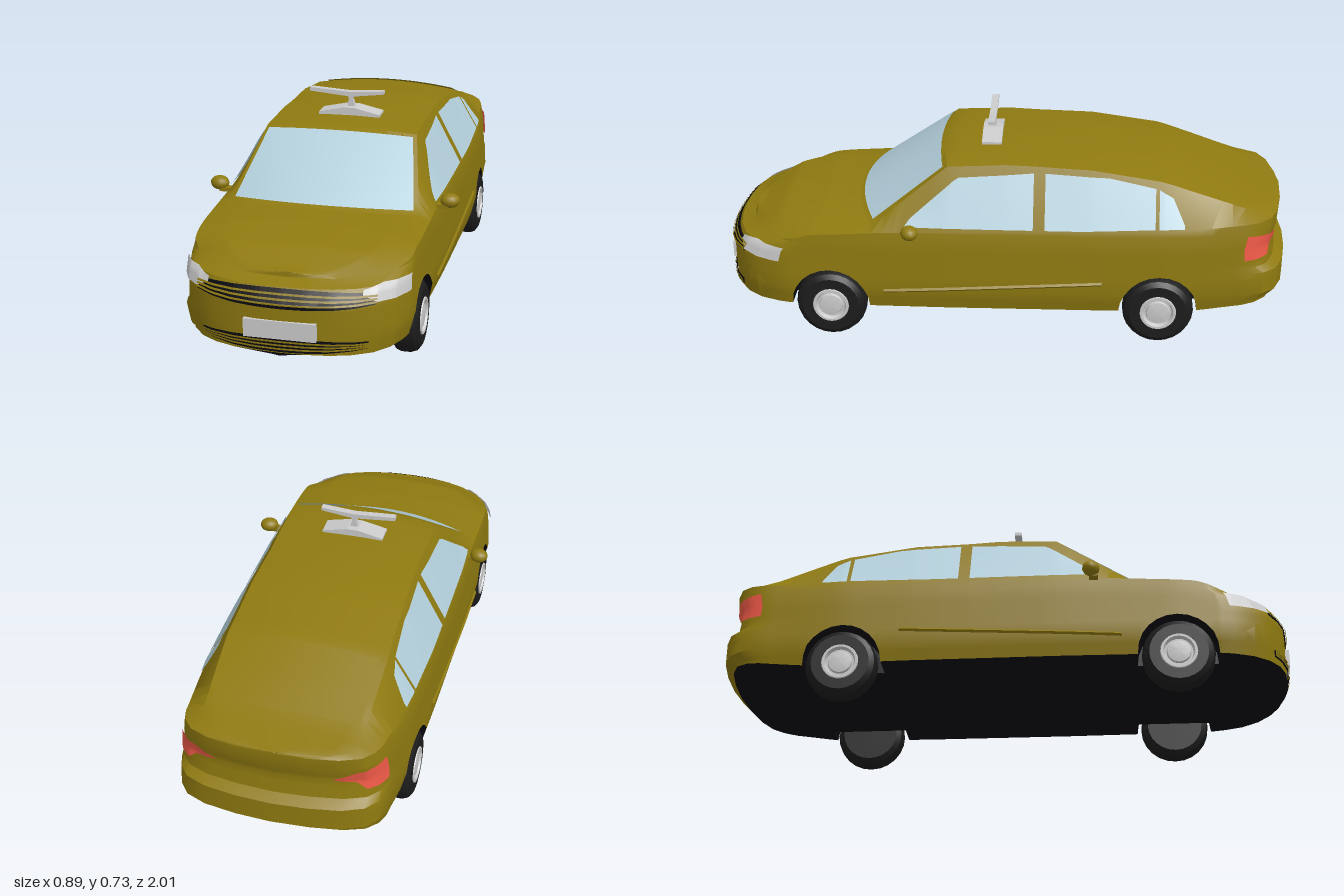
import * as THREE from 'three';
import { toCreasedNormals } from 'three/addons/utils/BufferGeometryUtils.js';

const mat = (color) => new THREE.MeshStandardMaterial({ color, side: THREE.DoubleSide });
const paint = mat(0x8f7a10), dark = mat(0x0a0a12), rubber = mat(0x1c1c1c);
const glass = mat(0xb4d0dc), red = mat(0xf05a48), grey = mat(0xcccccc);

// Linear lookup in a table of [key, value] pairs with ascending keys
function look(table, k) {
  if (k <= table[0][0]) return table[0][1];
  for (let i = 1; i < table.length; i++) {
    const [a, va] = table[i - 1], [b, vb] = table[i];
    if (k <= b) return va + (vb - va) * (k - a) / (b - a);
  }
  return table[table.length - 1][1];
}
const lerp = THREE.MathUtils.lerp, smooth = THREE.MathUtils.smoothstep;

// Plan outline: nose and tail as [x, z], flanks as [z, x]
const nose = [[0, 1], [.08, .997], [.16, .985], [.23, .96], [.29, .92], [.335, .865], [.362, .8], [.372, .76]];
const tail = [[0, -1], [.12, -.993], [.23, -.975], [.3, -.945], [.335, -.9], [.35, -.85], [.354, -.8]];
const flank = [[-.8, .354], [-.68, .366], [-.55, .378], [-.3, .384], [.2, .386], [.6, .38], [.76, .372]];
const flip = (t) => t.map(([a, b]) => [b, a]);
const outline = [...flip(tail), ...flank.slice(1, -1), ...flip(nose).reverse()];

// Body shape tables
const widthByY = [[.12, .965], [.19, 1.01], [.36, .988], [.4, .975], [.46, .94]];
const noseShift = [[.29, 0], [.335, .03], [.36, .11], [.4, .13]];
const tailShift = [[.16, .03], [.19, 0], [.27, 0], [.29, .035], [.36, .045], [.41, .03], [.46, .025]];
const shoulderY = [[-.97, .458], [-.6, .43], [0, .42], [.4, .41], [.7, .392], [.85, .36], [1, .35]];
const floorY = [[-1, .16], [-.68, .125], [.9, .12], [1, .125]];
const edgeFrac = [[-.97, .85], [-.8, .8], [-.5, .75], [-.1, .71], [.2, .72], [.46, .89], [.6, .76], [.9, .76]];
const edgeY = [[-.97, .463], [-.84, .48], [-.78, .5], [-.55, .578], [-.3, .615], [0, .627], [.2, .618], [.46, .42], [.65, .415], [.8, .395], [.9, .36]];
const centreY = [[-.97, .468], [-.84, .492], [-.7, .547], [-.55, .603], [-.3, .633], [-.1, .642], [.05, .64], [.2, .632], [.46, .437], [.65, .43], [.8, .408], [.9, .367]];
const bow = [[0, 0], [.2, .02], [.46, .07], [.6, 0]];

// Wheels and arches
const axles = [.61, -.54], axleY = .124, archR = .138;
function bottomY(z) {
  let y = look(floorY, z);
  for (const a of axles) {
    const d = Math.abs(z - a);
    if (d < archR) y = Math.max(y, axleY + Math.sqrt(archR * archR - d * d));
  }
  return y;
}

// Points on the body: wall, greenhouse side and deck (hood, screen, roof, boot)
function wall(x, z, y) {
  const dz = -look(noseShift, y) * smooth(z, .6, 1) + look(tailShift, y) * smooth(-z, .6, 1);
  return [x * look(widthByY, y), y, z + dz];
}
const shoulder = (x, z) => wall(x, z, look(shoulderY, z));
function deck(x, z, f, lift = 0) {
  const [sx, , sz] = shoulder(x, z), c = 1 - f * f, ey = look(edgeY, sz);
  return [sx * look(edgeFrac, sz) * f, lerp(ey, Math.max(ey, look(centreY, sz)), c) + lift, sz + look(bow, sz) * c];
}
function side(z, y, sgn) {
  const x = look(outline, z), a = shoulder(x, z), b = deck(x, z, 1);
  const s = Math.min(.95, (y - a[1]) / (b[1] - a[1]));
  return [sgn * (lerp(a[0], b[0], s) + .005), lerp(a[1], b[1], s) + .002, a[2]];
}
function endPoint(table, x, y, off) {
  const ax = Math.abs(x), z = look(table, ax), p = wall(x, z, y);
  return [p[0] + off * Math.sign(x) * (ax / .36) ** 3, y, p[2] + off * Math.sign(z)];
}

// Surface through a grid of points
function surface(name, material, grid, crease = .55) {
  const w = grid[0].length, idx = [], same = (a, b) => Math.hypot(a[0] - b[0], a[1] - b[1], a[2] - b[2]) < 1e-5;
  const flat = grid.flat();
  const tri = (a, b, c) => {
    if (!same(flat[a], flat[b]) && !same(flat[b], flat[c]) && !same(flat[a], flat[c])) idx.push(a, b, c);
  };
  for (let i = 0; i < grid.length - 1; i++) for (let j = 0; j < w - 1; j++) {
    const a = i * w + j, b = a + w;
    tri(a, b, b + 1);
    tri(a, b + 1, a + 1);
  }
  const g = new THREE.BufferGeometry();
  g.setAttribute('position', new THREE.Float32BufferAttribute(flat.flat(), 3));
  g.setIndex(idx);
  const m = new THREE.Mesh(toCreasedNormals(g, crease), material);
  m.name = name;
  return m;
}
function patch(name, material, nu, nv, fn) {
  return surface(name, material, Array.from({ length: nu + 1 }, (_, i) =>
    Array.from({ length: nv + 1 }, (_, j) => fn(i / nu, j / nv))));
}
const mirrorHalf = (half) => [...half, ...half.slice(0, -1).reverse().map(([x, y, z]) => [-x, y, z])];

function extrude(name, points, depth, z) {
  const g = new THREE.ExtrudeGeometry(new THREE.Shape(points.map((p) => new THREE.Vector2(...p))), { depth, bevelEnabled: false });
  const m = new THREE.Mesh(g.translate(0, 0, z - depth / 2), grey);
  m.name = name;
  return m;
}

function makeWheel(sgn, z) {
  const wheel = new THREE.Group();
  wheel.name = 'wheel';
  const lathe = (name, pts, material) => {
    const g = new THREE.LatheGeometry(pts.map((p) => new THREE.Vector2(...p)), 24).rotateZ(-Math.PI / 2);
    const m = new THREE.Mesh(toCreasedNormals(g, .5), material);
    m.name = name;
    wheel.add(m);
  };
  lathe('tyre', [[0, -.045], [.1, -.045], [.117, -.033], [.124, -.015], [.124, .015], [.117, .033], [.1, .045], [.064, .045], [.06, .035]], rubber);
  lathe('rim', [[.064, .044], [.062, .049], [.054, .049], [.048, .036], [.042, .036], [.039, .044], [.02, .047], [0, .047]], grey);
  wheel.position.set(sgn * .335, axleY, z);
  if (sgn < 0) wheel.rotation.y = Math.PI;
  return wheel;
}

export function createModel() {
  const car = new THREE.Group();
  car.name = 'car';

  // Stations from nose to tail
  const zs = [.46, .42, .38, .34, .3, .25, .2, .15, .1, 0, -.1, -.2, -.3, -.36, -.72, -.76];
  for (const a of axles) for (let k = 0; k <= 12; k++) zs.push(a + archR * Math.cos(k * Math.PI / 12));
  zs.sort((a, b) => b - a);
  const stations = [...nose, ...zs.map((z) => [look(outline, z), z]), ...tail.slice().reverse()];

  // Shell and underside
  const levels = [.12, .16, .19, .24, .27, .29, .31, .335, .36, .38, .41];
  car.add(surface('bodyShell', paint, stations.map(([x, z]) => {
    const lo = bottomY(z), hi = look(shoulderY, z);
    const half = [...levels, hi].map((y) => wall(x, z, Math.min(hi, Math.max(lo, y))));
    for (const f of [1, .8, .6, .4, .2, 0]) half.push(deck(x, z, f));
    return mirrorHalf(half);
  })));
  car.add(surface('underbody', dark, stations.map(([x, z]) => {
    const p = wall(x, z, bottomY(z)), xi = Math.min(p[0], .27), y = look(floorY, z);
    return mirrorHalf([p, [xi, p[1], p[2]], [xi, y, p[2]], [0, y - .01 * smooth(z, .5, .8), p[2]]]);
  })));

  // Raised panels and windscreen on the deck
  const deckPatch = (name, material, z0, z1, half, lift) => car.add(patch(name, material, 24, 16, (u, v) => {
    const z = lerp(z0, z1, u), x = look(outline, z), ex = deck(x, z, 1)[0];
    return deck(x, z, (2 * v - 1) * Math.min(.95, half / ex), lift);
  }));
  deckPatch('hoodPanel', paint, .965, .56, .265, .006);
  deckPatch('windscreen', glass, .452, .215, 1, .005);
  deckPatch('rearScreenPanel', paint, -.57, -.83, .25, .005);

  // Front: grilles with slats, plate
  const frontPatch = (name, material, x0, x1, lo, hi, off) => car.add(patch(name, material, 32, 4, (u, v) => {
    const x = lerp(x0, x1, u);
    return endPoint(nose, x, lerp(lo(Math.abs(x)), hi(Math.abs(x)), v), off);
  }));
  const grille = (name, half, y0, y1, slats) => {
    const top = (x) => y1 - .012 * (x / half) ** 2, bot = (x) => y0 + .012 * (x / half) ** 2;
    frontPatch(name, dark, -half, half, bot, top, .005);
    for (let i = 1; i <= slats; i++) {
      const t = i / (slats + 1), mid = (x) => lerp(bot(x), top(x), t);
      frontPatch(name + 'Slat', paint, -half, half, (x) => mid(x) - .003, (x) => mid(x) + .003, .009);
    }
  };
  grille('upperGrille', .29, .275, .333, 3);
  grille('lowerGrille', .27, .13, .178, 3);
  const plate = new THREE.Mesh(new THREE.BoxGeometry(.235, .06, .02), grey);
  plate.name = 'numberPlate';
  plate.position.set(0, .203, .996);
  car.add(plate);

  // Parts on both sides
  const winTop = [[-.62, .45], [-.58, .53], [-.53, .557], [-.36, .591], [-.14, .602], [-.1, .602], [.165, .585], [.33, .45], [.345, .428]];
  for (const s of [1, -1]) {
    frontPatch('headlight', grey, s * .25, s * .367,
      (x) => look([[.25, .318], [.29, .295], [.36, .29]], x), (x) => look([[.25, .332], [.3, .342], [.367, .34]], x), .008);
    frontPatch('fogLampSurround', paint, s * .31, s * .348,
      (x) => look([[.31, .145], [.33, .14], [.348, .16]], x), (x) => look([[.31, .232], [.33, .235], [.348, .2]], x), .008);
    car.add(patch('tailLight', red, 16, 6, (u, v) => {
      const x = lerp(.2, .349, u);
      return endPoint(tail, s * x, lerp(look([[.2, .365], [.27, .355], [.3, .325], [.349, .32]], x), look([[.2, .37], [.27, .4], [.349, .41]], x), v), .006);
    }));
    for (const [name, z0, z1] of [['frontSideWindow', .345, -.1], ['rearSideWindow', -.14, -.52], ['quarterWindow', -.533, -.62]])
      car.add(patch(name, glass, 24, 4, (u, v) => {
        const z = lerp(z0, z1, u);
        return side(z, lerp(lerp(.428, .437, smooth(-z, .2, .6)), look(winTop, z), v), s);
      }));
    car.add(patch('sillMoulding', paint, 12, 2, (u, v) => {
      const z = lerp(.42, -.34, u), p = wall(look(outline, z), z, lerp(.19, .235, u) + .014 * (v - .5));
      return [s * (p[0] + (v === .5 ? .007 : .001)), p[1], p[2]];
    }));

    // Door mirror
    const housing = new THREE.Mesh(new THREE.SphereGeometry(1, 14, 10), paint);
    housing.name = 'mirrorHousing';
    housing.scale.set(.034, .025, .03);
    housing.position.set(s * .411, .43, .322);
    housing.rotation.y = s * .3;
    const arm = new THREE.Mesh(new THREE.BoxGeometry(.05, .014, .03), paint);
    arm.name = 'mirrorArm';
    arm.position.set(s * .382, .412, .33);
    car.add(housing, arm);

    for (const z of axles) car.add(makeWheel(s, z));
  }

  // Roof aerial
  car.add(extrude('aerialBase', [[-.11, .62], [.11, .62], [.11, .645], [.02, .665], [-.02, .665], [-.11, .645]], .07, .055));
  car.add(extrude('aerialStem', [[-.015, .66], [.015, .66], [.007, .69], [.013, .708], [-.013, .708], [-.007, .69]], .02, .055));
  car.add(extrude('aerialBlade', [[-.15, .713], [-.02, .702], [.02, .702], [.12, .715], [.12, .726], [0, .717], [-.15, .726]], .025, .055));
  return car;
}
